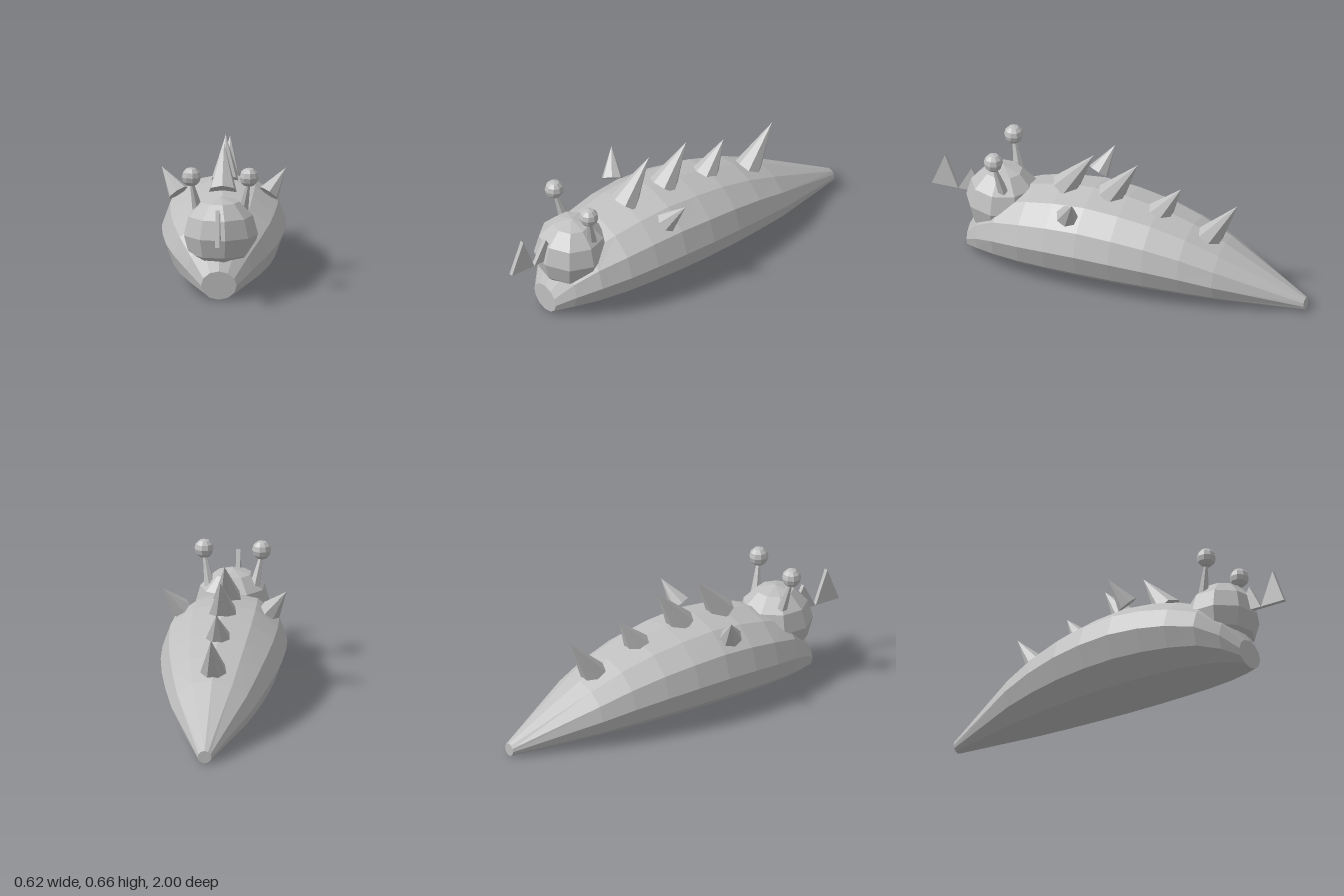
import * as THREE from 'three';

export function createModel() {
  const model = new THREE.Group();
  model.name = 'spikedSlug';
  const grey = new THREE.MeshStandardMaterial({ color: 0xbfbfbf, flatShading: true });
  grey.name = 'plainGrey';

  function add(name, geometry) {
    const flat = geometry.index ? geometry.toNonIndexed() : geometry;
    flat.computeVertexNormals();
    const mesh = new THREE.Mesh(flat, grey);
    mesh.name = name;
    model.add(mesh);
    return mesh;
  }

  // Tapered prism or cone running from one point to another
  function taper(name, from, to, r0, r1, sides) {
    const a = new THREE.Vector3(...from);
    const b = new THREE.Vector3(...to);
    const dir = b.clone().sub(a);
    const mesh = add(name, new THREE.CylinderGeometry(r1, r0, dir.length(), sides));
    mesh.position.copy(a).add(b).multiplyScalar(0.5);
    mesh.quaternion.setFromUnitVectors(new THREE.Vector3(0, 1, 0), dir.normalize());
    return mesh;
  }

  // Body: twelve-sided rings resting on the ground, as [z, half width, height]
  const rings = [
    [0.785, 0.09, 0.145], [0.71, 0.165, 0.27], [0.6, 0.235, 0.37], [0.45, 0.28, 0.423],
    [0.3, 0.302, 0.455], [0.13, 0.312, 0.47], [-0.05, 0.305, 0.455], [-0.22, 0.285, 0.425],
    [-0.4, 0.25, 0.37], [-0.57, 0.205, 0.295], [-1, 0.035, 0.065],
  ];
  const sides = 12;
  const points = [];
  const faces = [];
  for (const [z, rx, h] of rings) {
    for (let i = 0; i < sides; i++) {
      const t = (i / sides) * Math.PI * 2;
      points.push(Math.sin(t) * rx, (h / 2) * (1 + Math.cos(t)), z);
    }
  }
  for (let r = 0; r < rings.length - 1; r++) {
    for (let i = 0; i < sides; i++) {
      const j = (i + 1) % sides;
      const a = r * sides + i, b = r * sides + j;
      const c = a + sides, d = b + sides;
      faces.push(a, b, c, b, d, c);
    }
  }
  const last = (rings.length - 1) * sides;
  for (let i = 1; i < sides - 1; i++) {
    faces.push(0, i + 1, i);
    faces.push(last, last + i, last + i + 1);
  }
  const body = new THREE.BufferGeometry();
  body.setAttribute('position', new THREE.Float32BufferAttribute(points, 3));
  body.setIndex(faces);
  add('body', body);

  // Head
  const head = add('head', new THREE.SphereGeometry(0.19, 9, 6));
  head.position.set(0, 0.305, 0.62);
  head.rotation.y = Math.PI;

  // Eyes on stalks, and one spike on each flank
  for (const [side, s] of [['left', 1], ['right', -1]]) {
    taper(side + 'EyeStalk', [s * 0.113, 0.41, 0.58], [s * 0.144, 0.57, 0.618], 0.03, 0.009, 6);
    const eye = add(side + 'Eye', new THREE.SphereGeometry(0.049, 9, 6));
    eye.position.set(s * 0.145, 0.594, 0.62);
    eye.rotation.y = Math.PI;
    taper(side + 'FlankSpike', [s * 0.227, 0.417, 0.195], [s * 0.312, 0.538, 0.138], 0.056, 0, 7);
  }

  // Row of back spikes leaning towards the tail: base z, y, then tip z, y
  const spikes = [
    [0.29, 0.445, 0.135, 0.66], [0.045, 0.445, -0.1, 0.652],
    [-0.212, 0.385, -0.332, 0.56], [-0.475, 0.3, -0.635, 0.527],
  ];
  spikes.forEach(([z0, y0, z1, y1], i) => {
    taper('backSpike' + (i + 1), [0, y0, z0], [0, y1, z1], 0.074, 0, 7);
  });

  // Two thin upright triangular teeth in front of the head: centre z, height
  for (const [name, z, h] of [['outerTooth', 0.93, 0.178], ['innerTooth', 0.788, 0.13]]) {
    const shape = new THREE.Shape();
    shape.moveTo(-0.07, 0);
    shape.lineTo(0.07, 0);
    shape.lineTo(0, h);
    const tooth = add(name, new THREE.ExtrudeGeometry(shape, { depth: 0.022, bevelEnabled: false }));
    tooth.rotation.y = Math.PI / 2;
    tooth.position.set(-0.011, 0.313, z);
  }

  return model;
}
